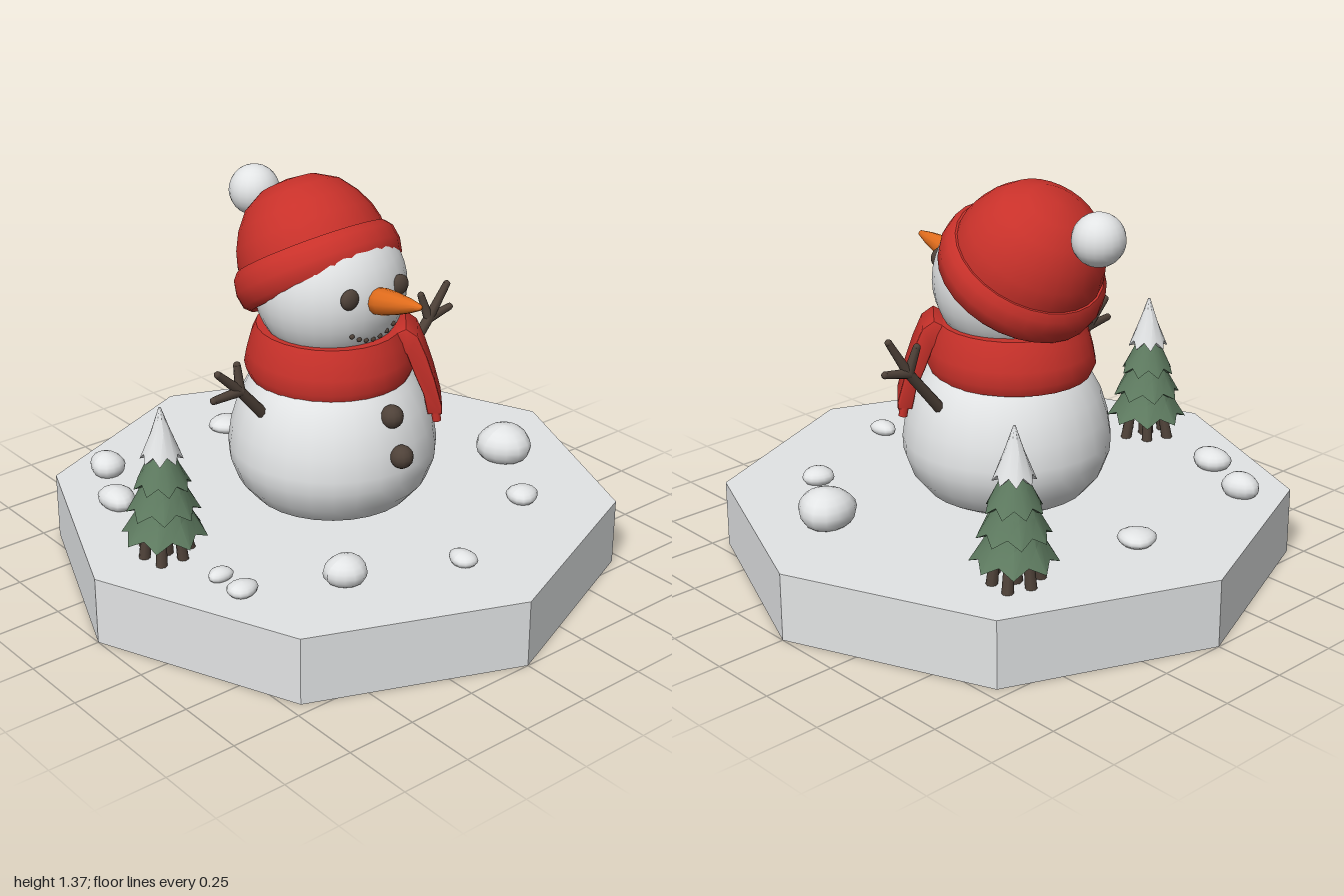
import * as THREE from 'three';
import { toCreasedNormals } from 'three/addons/utils/BufferGeometryUtils.js';

const paint = (name, color) => {
  const m = new THREE.MeshStandardMaterial({ color });
  m.name = name;
  return m;
};

export function createModel() {
  const snow = paint('snow', 0xe2e4e5);
  const red = paint('red wool', 0xc8312a);
  const green = paint('pine green', 0x5f7c61);
  const brown = paint('bark brown', 0x4f4239);
  const orange = paint('carrot orange', 0xe06c1c);
  const underside = paint('slate underside', 0x6c7c8b);
  const model = new THREE.Group();
  model.name = 'snowmanScene';

  const add = (name, geo, mat, pos = [0, 0, 0], parent = model) => {
    const mesh = new THREE.Mesh(geo, mat);
    mesh.name = name;
    mesh.position.set(...pos);
    parent.add(mesh);
    return mesh;
  };
  const lathe = (pts, seg = 28) =>
    toCreasedNormals(new THREE.LatheGeometry(pts.map(p => new THREE.Vector2(...p)), seg), 0.8);
  const ball = (r, seg = 16) => new THREE.SphereGeometry(r, seg, Math.round(seg * 0.7));
  const group = (name, parent = model) => {
    const g = new THREE.Group();
    g.name = name;
    parent.add(g);
    return g;
  };
  // Tapered rod between two points
  const stick = (name, a, b, ra, rb, mat, parent) => {
    const from = new THREE.Vector3(...a), to = new THREE.Vector3(...b);
    const dir = to.clone().sub(from);
    const mesh = add(name, new THREE.CylinderGeometry(rb, ra, dir.length(), 8), mat,
      from.clone().add(to).multiplyScalar(0.5).toArray(), parent);
    mesh.quaternion.setFromUnitVectors(new THREE.Vector3(0, 1, 0), dir.normalize());
    return mesh;
  };

  // Octagonal slab with a slightly uneven wall
  const slab = new THREE.CylinderGeometry(1, 1, 0.24, 8, 1);
  add('groundSlab', toCreasedNormals(slab, 0.3), [snow, snow, underside], [0, 0.12, 0]);

  // Snow lumps: x, z, half width, half depth, height
  const lumps = [
    [-0.55, -0.61, 0.06, 0.07, 0.08], [-0.66, -0.38, 0.06, 0.075, 0.07],
    [0, -0.63, 0.066, 0.066, 0.05], [-0.68, 0.255, 0.045, 0.035, 0.04],
    [-0.68, 0.375, 0.055, 0.045, 0.045], [-0.37, 0.52, 0.075, 0.07, 0.09],
    [0, 0.68, 0.042, 0.055, 0.045], [0.46, 0.49, 0.057, 0.055, 0.055],
    [0.65, 0.2, 0.1, 0.1, 0.125]];
  lumps.forEach(([x, z, w, d, h], i) => {
    const geo = new THREE.SphereGeometry(1, 14, 10);
    const p = geo.attributes.position;
    for (let k = 0; k < p.count; k++) {
      const a = Math.atan2(p.getZ(k), p.getX(k));
      const s = 1 + 0.06 * Math.sin(3 * a + i * 2) * (1 - p.getY(k) ** 2);
      p.setXYZ(k, p.getX(k) * s * w, p.getY(k) * h * 0.6, p.getZ(k) * s * d);
    }
    geo.computeVertexNormals();
    add('snowLump', geo, snow, [x, 0.24 + h * 0.4, z]);
  });

  // Body and head
  const snowman = group('snowman');
  add('body', lathe([[0.23, 0.235], [0.285, 0.265], [0.335, 0.325], [0.362, 0.40], [0.365, 0.45],
    [0.353, 0.53], [0.328, 0.61], [0.29, 0.68], [0.24, 0.74], [0.16, 0.80], [0, 0.83]]),
    snow, [0, 0, 0], snowman);
  const head = add('head', ball(0.265, 28), snow, [0, 1.02, -0.01], snowman);
  head.scale.z = 0.97;
  const faceZ = (x, y) => -0.01 + 0.97 * Math.sqrt(0.265 ** 2 - x * x - (y - 1.02) ** 2);

  // Face
  for (const s of [-1, 1]) {
    const eye = add(s > 0 ? 'leftEye' : 'rightEye', ball(0.036, 12), brown,
      [s * 0.108, 1.06, faceZ(0.108, 1.06)], snowman);
    eye.scale.z = 0.6;
  }
  for (let i = -3; i <= 3; i++) {
    const x = i * 0.03, y = 0.89 + 0.0035 * i * i;
    add('mouthPebble', ball(0.009, 8), brown, [x, y, faceZ(x, y)], snowman);
  }
  const nose = add('nose', lathe([[0.03, -0.03], [0.046, 0], [0.046, 0.04], [0.038, 0.1],
    [0.024, 0.17], [0.01, 0.22], [0, 0.23]], 12), orange, [0, 1.033, 0.23], snowman);
  nose.rotation.x = Math.PI / 2 - 0.2;

  // Buttons
  for (const [y, z] of [[0.64, 0.315], [0.51, 0.368]]) {
    add('button', ball(0.041, 12), brown, [0, y, z], snowman);
  }

  // Stick arms with three twigs each: shoulder, fork, side fork and tips
  const arms = {
    leftArm: [[0.29, 0.60], [0.44, 0.78], [[0.51, 0.90], [0.54, 0.80], [0.415, 0.87]]],
    rightArm: [[-0.28, 0.60], [-0.40, 0.74], [[-0.52, 0.745], [-0.49, 0.825], [-0.40, 0.83]]],
  };
  for (const [name, [root, fork, tips]] of Object.entries(arms)) {
    const arm = group(name, snowman);
    stick('limb', [...root, 0], [...fork, 0.005], 0.021, 0.018, brown, arm);
    add('fork', ball(0.019, 8), brown, [...fork, 0.005], arm);
    tips.forEach((t, i) => {
      const tip = [...t, 0.02 - 0.015 * i];
      stick('twig', [...fork, 0.005], tip, 0.018, 0.013, brown, arm);
      add('twigEnd', ball(0.013, 8), brown, tip, arm);
    });
  }

  // Scarf wrap
  const scarf = group('scarf', snowman);
  const wrap = add('scarfWrap', lathe([[0.19, 0.70], [0.272, 0.695], [0.287, 0.73], [0.278, 0.78],
    [0.262, 0.84], [0.245, 0.877], [0.2, 0.875]]), red, [0, 0, -0.02], scarf);
  wrap.scale.z = 1.05;

  // Hanging scarf end, with its side profile following the body
  const tail = group('scarfEnd', scarf);
  tail.rotation.y = -0.7;
  const side = new THREE.Shape();
  side.moveTo(0.2, 0.86);
  [[0.25, 0.885], [0.285, 0.86], [0.315, 0.79], [0.345, 0.70], [0.372, 0.6], [0.372, 0.58],
    [0.335, 0.58], [0.32, 0.65], [0.29, 0.72], [0.26, 0.8]].forEach(p => side.lineTo(...p));
  const cloth = new THREE.ExtrudeGeometry(side, { depth: 0.155, bevelEnabled: true,
    bevelSize: 0.007, bevelThickness: 0.008, bevelSegments: 2 });
  add('cloth', toCreasedNormals(cloth, 0.7), red, [0, 0, -0.0775], tail);
  for (let i = -2; i <= 2; i++) {
    stick('fringe', [0.352, 0.61, i * 0.034], [0.362, 0.545 + 0.005 * (i & 1), i * 0.035],
      0.018, 0.016, red, tail);
  }

  // Hat tipped backwards, with rolled brim and bobble
  const hat = group('hat', snowman);
  hat.position.set(0, 1.01, -0.045);
  hat.rotation.x = -0.56;
  add('brim', lathe([[0.22, 0.005], [0.265, -0.008], [0.287, 0.012], [0.296, 0.06], [0.288, 0.108],
    [0.268, 0.132], [0.235, 0.13]]), red, [0, 0, 0], hat);
  add('crown', lathe([[0.262, 0.10], [0.26, 0.15], [0.247, 0.20], [0.218, 0.26], [0.172, 0.32],
    [0.1, 0.362], [0, 0.378]]), red, [0, 0, 0], hat);
  add('bobble', ball(0.09, 20), snow, [0, 1.245, -0.43], snowman);

  // Pine trees with jagged tiers, a snowy tip and a cluster of trunks
  const tier = (rTop, rBottom, h, phase) => {
    const geo = new THREE.CylinderGeometry(rTop, rBottom, h, 16, 2);
    const p = geo.attributes.position;
    for (let k = 0; k < p.count; k++) {
      const x = p.getX(k), y = p.getY(k), z = p.getZ(k);
      const low = 0.5 - y / h;
      const wave = Math.cos(8 * Math.atan2(x, z)) * low;
      const s = (1 + 0.09 * wave) * (y === 0 ? 0.92 : 1);
      const rim = Math.hypot(x, z) > 0.001 ? 1 : 0;
      p.setXYZ(k, x * s, y - 0.014 * wave * rim, z * s);
    }
    geo.rotateY(phase);
    return toCreasedNormals(geo, 0.5);
  };
  for (const [x, z, turn] of [[-0.72, 0, 0], [0.485, -0.55, 0.8]]) {
    const tree = group('pineTree');
    tree.position.set(x, 0.24, z);
    tree.rotation.y = turn;
    add('lowerTier', tier(0.07, 0.134, 0.14, 0), green, [0, 0.155, 0], tree);
    add('middleTier', tier(0.055, 0.114, 0.14, 0.2), green, [0, 0.245, 0], tree);
    add('upperTier', tier(0.03, 0.09, 0.14, 0.4), green, [0, 0.335, 0], tree);
    add('snowyTip', tier(0.004, 0.066, 0.17, 0.1), snow, [0, 0.45, 0], tree);
    stick('trunk', [0, -0.01, 0], [0, 0.3, 0], 0.028, 0.02, brown, tree);
    for (let i = 0; i < 6; i++) {
      const a = i * Math.PI / 3 + 0.3, r = 0.075 + 0.015 * (i % 2);
      stick('trunk', [r * Math.sin(a), -0.01, r * Math.cos(a)],
        [0.06 * Math.sin(a), 0.13, 0.06 * Math.cos(a)], 0.02, 0.016, brown, tree);
    }
  }
  return model;
}
